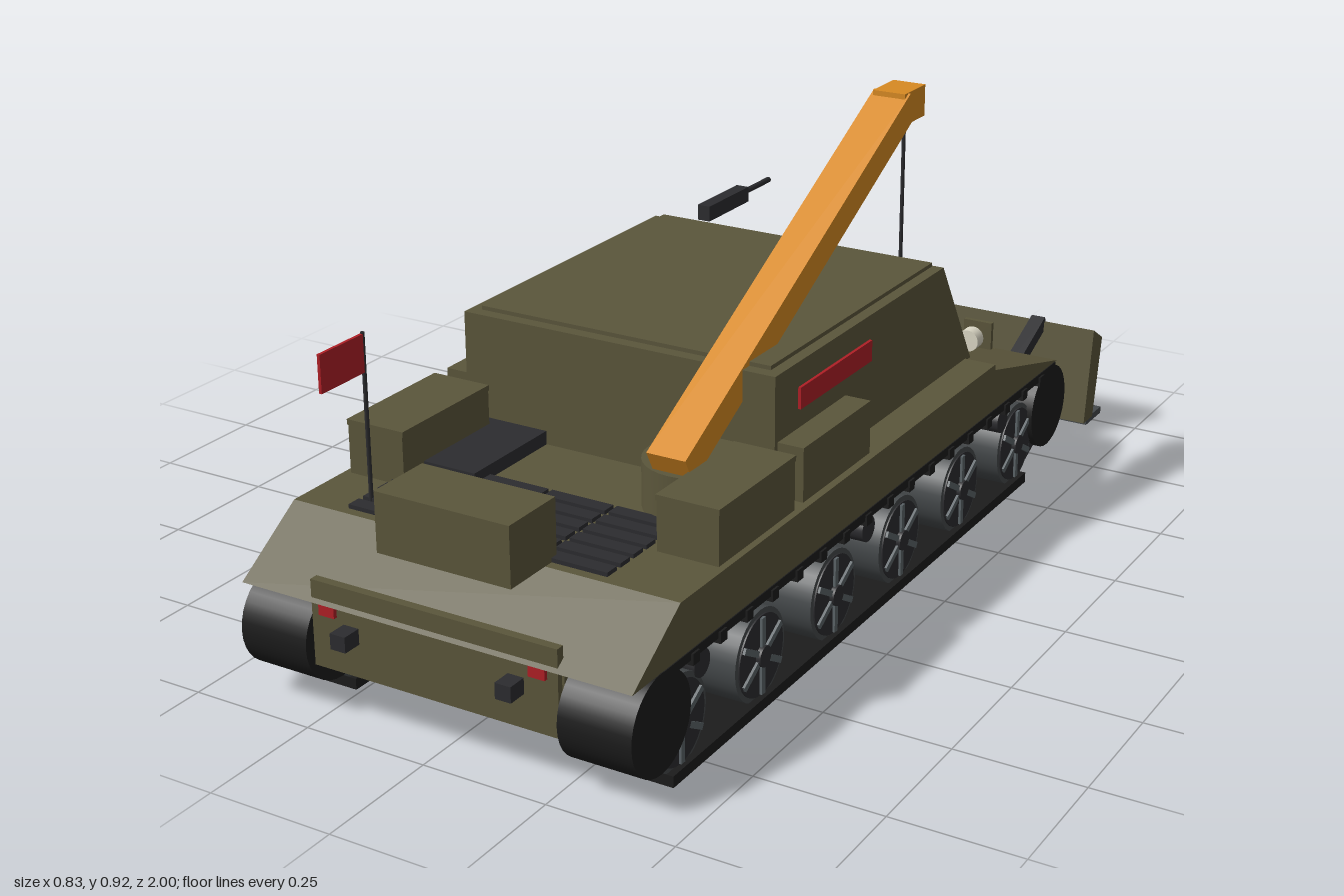
import * as THREE from 'three';

const mat = (name, hex) => {
  const m = new THREE.MeshStandardMaterial({ color: hex });
  m.name = name;
  return m;
};

export function createModel() {
  const olive = mat('olive paint', 0x5b563b);
  const rubber = mat('track black', 0x1c1c1c);
  const gunmetal = mat('gunmetal', 0x2c2c2f);
  const steel = mat('wheel grey', 0x45494b);
  const spokeGrey = mat('spoke grey', 0x5c6468);
  const orange = mat('crane orange', 0xd88a22);
  const red = mat('marker red', 0xb01f26);
  const glass = mat('lamp glass', 0xdcd8c6);

  const model = new THREE.Group();
  model.name = 'recoveryVehicle';

  const add = (name, geo, material, parent = model) => {
    const mesh = new THREE.Mesh(geo, material);
    mesh.name = name;
    parent.add(mesh);
    return mesh;
  };
  // Box given by its min and max on each axis
  const box = (name, material, [x0, x1], [y0, y1], [z0, z1], parent) => {
    const mesh = add(name, new THREE.BoxGeometry(x1 - x0, y1 - y0, z1 - z0), material, parent);
    mesh.position.set((x0 + x1) / 2, (y0 + y1) / 2, (z0 + z1) / 2);
    return mesh;
  };
  // Side profile of [z, y] points extruded across x
  const profile = (name, material, points, x, width) => {
    const shape = new THREE.Shape(points.map(([z, y]) => new THREE.Vector2(z, y)));
    const geo = new THREE.ExtrudeGeometry(shape, { depth: width, bevelEnabled: false });
    geo.translate(0, 0, -width / 2).rotateY(-Math.PI / 2).translate(x, 0, 0);
    return add(name, geo, material);
  };
  // Square bar between two [z, y] points
  const bar = (name, material, x, width, thick, [z0, y0], [z1, y1]) => {
    const mesh = add(name, new THREE.BoxGeometry(width, thick, Math.hypot(z1 - z0, y1 - y0)), material);
    mesh.position.set(x, (y0 + y1) / 2, (z0 + z1) / 2);
    mesh.rotation.x = -Math.atan2(y1 - y0, z1 - z0);
    return mesh;
  };
  // Cylinder lying across x
  const axle = (name, material, r, width, x, y, z, parent) => {
    const geo = new THREE.CylinderGeometry(r, r, width, 32).rotateZ(Math.PI / 2);
    const mesh = add(name, geo, material, parent);
    mesh.position.set(x, y, z);
    return mesh;
  };

  // Hull
  profile('upperHull', olive, [[0.97, 0.23], [0.82, 0.33], [-0.42, 0.33], [-0.42, 0.318], [-0.75, 0.23]], 0, 0.806);
  profile('lowerHull', olive, [[0.95, 0.105], [0.95, 0.232], [-0.745, 0.232], [-0.66, 0.105]], 0, 0.52);
  box('nosePlate', olive, [-0.255, 0.255], [0.105, 0.27], [0.945, 0.962]);

  // Superstructure
  profile('cabin', olive, [[0.385, 0.325], [0.385, 0.563], [-0.3, 0.563], [-0.445, 0.325]], 0, 0.67);
  box('roofPlate', olive, [-0.312, 0.312], [0.56, 0.571], [-0.295, 0.36]);
  box('rearStowageBox', olive, [-0.14, 0.137], [0.33, 0.445], [0.785, 0.92]);

  // Engine deck
  box('deckHatch', gunmetal, [-0.31, -0.155], [0.33, 0.357], [0.378, 0.615]);
  for (let row = 0; row < 6; row++) {
    for (let col = 0; col < 4; col++) {
      const x = -0.295 + col * 0.138, z = 0.567 + row * 0.041;
      box('deckGrilleSlat', gunmetal, [x, x + 0.13], [0.328, 0.338], [z, z + 0.029]);
    }
  }

  // Paired parts on both sides
  for (const s of [1, -1]) {
    const span = (a, b) => (s > 0 ? [a, b] : [-b, -a]);

    box('sideBox', olive, span(0.268, 0.39), [0.33, 0.428], [0.41, 0.675]);
    box('sideBoxLid', olive, span(0.266, 0.392), [0.425, 0.436], [0.41, 0.676]);
    box('sideLocker', olive, span(0.33, 0.388), [0.33, 0.435], [0.115, 0.375]);
    box('sideStripe', red, span(0.334, 0.341), [0.473, 0.515], [0.02, 0.3]);

    // Lights and tow hooks
    box('markerLight', red, span(0.201, 0.234), [0.21, 0.23], [0.96, 0.97]);
    box('frontTowHook', gunmetal, span(0.155, 0.187), [0.17, 0.2], [0.955, 1.0]);
    box('rearTowHook', gunmetal, span(0.155, 0.187), [0.17, 0.2], [-0.785, -0.69]);
    const lamp = add('headlight', new THREE.CylinderGeometry(0.023, 0.023, 0.028, 20).rotateX(Math.PI / 2), glass);
    lamp.position.set(s * 0.322, 0.354, -0.472);
    box('headlightGuard', olive, span(0.292, 0.354), [0.325, 0.383], [-0.514, -0.504]);

    // Track
    const x = s * 0.333;
    box('trackGround', rubber, span(0.261, 0.405), [0, 0.022], [-0.6, 0.85]);
    box('trackTop', rubber, span(0.261, 0.405), [0.212, 0.23], [-0.74, 0.9]);
    bar('trackFrontRamp', gunmetal, x, 0.115, 0.025, [0.78, 0.025], [0.89, 0.075]);
    bar('trackRearRamp', gunmetal, x, 0.115, 0.025, [-0.57, 0.025], [-0.68, 0.075]);
    for (let i = 0; i < 17; i++) {
      const z = -0.66 + i * 0.09;
      box('trackCleat', rubber, span(0.385, 0.409), [0.202, 0.224], [z - 0.011, z + 0.011]);
    }
    axle('driveSprocket', rubber, 0.093, 0.144, x, 0.138, 0.885);
    axle('idlerWheel', rubber, 0.09, 0.144, x, 0.138, -0.71);
    for (const z of [0.735, 0.122, -0.492]) axle('returnRoller', gunmetal, 0.026, 0.12, x, 0.178, z);

    // Road wheels with six spokes
    for (let i = 0; i < 6; i++) {
      const wheel = new THREE.Group();
      wheel.name = 'roadWheel';
      wheel.position.set(x, 0.1, 0.808 - i * 0.2745);
      model.add(wheel);
      axle('wheelDrum', steel, 0.088, 0.116, 0, 0, 0, wheel);
      axle('wheelDisc', gunmetal, 0.078, 0.006, s * 0.058, 0, 0, wheel);
      axle('wheelHub', gunmetal, 0.02, 0.02, s * 0.06, 0, 0, wheel);
      for (let k = 0; k < 3; k++) {
        const spoke = add('wheelSpoke', new THREE.BoxGeometry(0.012, 0.15, 0.012), spokeGrey, wheel);
        spoke.position.x = s * 0.06;
        spoke.rotation.x = (k * Math.PI) / 3;
      }
    }

    // Blade arm
    bar('bladeArm', gunmetal, s * 0.28, 0.032, 0.028, [-0.72, 0.14], [-0.94, 0.238]);
  }

  // Dozer blade
  profile('dozerBlade', olive, [[-0.9, 0.03], [-0.932, 0.242], [-0.984, 0.21], [-0.95, 0.03]], 0, 0.83);
  box('bladeCuttingEdge', steel, [-0.415, 0.415], [0.021, 0.036], [-1.0, -0.915]);

  // Crane
  const turntable = add('craneBase', new THREE.CylinderGeometry(0.1, 0.1, 0.095, 32), olive);
  turntable.position.set(0.23, 0.375, 0.475);
  bar('craneBoom', orange, 0.229, 0.079, 0.056, [0.568, 0.436], [-0.28, 0.892]);
  box('craneHead', orange, [0.195, 0.264], [0.855, 0.918], [-0.34, -0.25]);
  const cable = add('craneCable', new THREE.CylinderGeometry(0.004, 0.004, 0.34, 8), gunmetal);
  cable.position.set(0.23, 0.69, -0.32);
  box('craneHook', gunmetal, [0.22, 0.24], [0.508, 0.53], [-0.337, -0.315]);

  // Roof gun
  box('gunBody', gunmetal, [-0.2, -0.172], [0.591, 0.623], [-0.408, -0.247]);
  const barrel = add('gunBarrel', new THREE.CylinderGeometry(0.006, 0.006, 0.13, 12).rotateX(Math.PI / 2), gunmetal);
  barrel.position.set(-0.186, 0.608, -0.455);

  // Antenna and pennant
  const antenna = add('antenna', new THREE.CylinderGeometry(0.004, 0.004, 0.325, 8), gunmetal);
  antenna.position.set(-0.278, 0.49, 0.758);
  box('pennant', red, [-0.281, -0.275], [0.578, 0.65], [0.76, 0.878]);

  return model;
}
